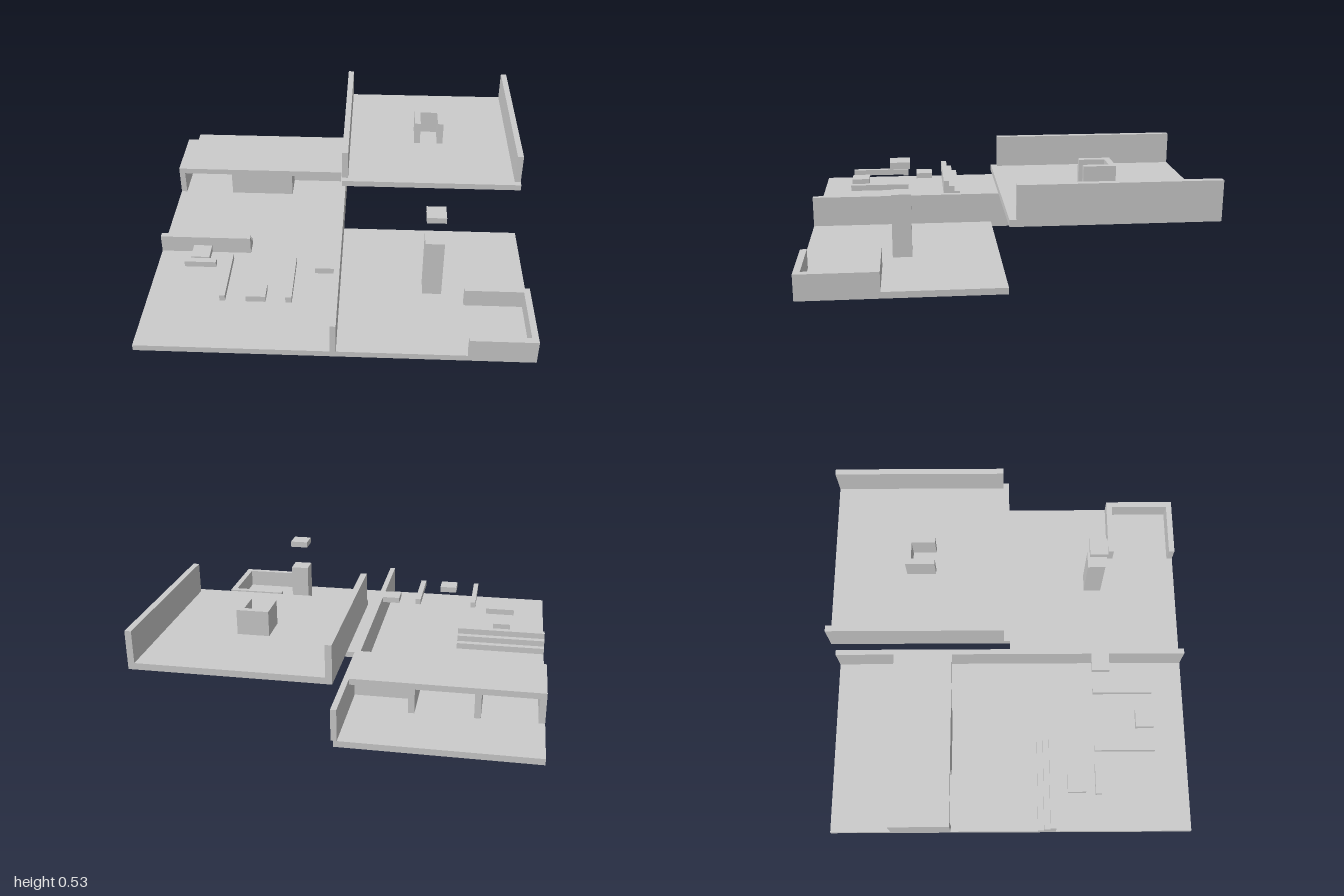
import * as THREE from 'three';

export function createModel() {
  const model = new THREE.Group();
  const material = new THREE.MeshStandardMaterial({ color: 0xcccccc, flatShading: true });
  const T = 0.033; // common slab and wall thickness

  // Box given by its minimum and maximum along each axis
  const block = (name, [x0, x1], [y0, y1], [z0, z1], parent = model) => {
    const geometry = new THREE.BoxGeometry(x1 - x0, y1 - y0, z1 - z0);
    geometry.translate((x0 + x1) / 2, (y0 + y1) / 2, (z0 + z1) / 2);
    const mesh = new THREE.Mesh(geometry, material);
    mesh.name = name;
    parent.add(mesh);
  };
  const group = (name) => {
    const g = new THREE.Group();
    g.name = name;
    model.add(g);
    return g;
  };

  // L-shaped ground floor and the wall dividing it
  block('longFloor', [-1, 0], [0, T], [-1, 1]);
  block('squareFloor', [0, 1], [0, T], [0, 1]);
  block('dividingWall', [-0.017, 0.013], [T, 0.2], [-1, 1]);

  // Raised platform with two side walls
  const platform = group('upperPlatform');
  block('platformFloor', [0, 1], [0.333, 0.367], [-1, 0], platform);
  for (const x of [0, 1 - T]) {
    block('platformSideWall', [x, x + T], [0.367, 0.533], [-1, -T], platform);
  }

  // U-shaped shelter on the platform, open to the front
  const shelter = group('shelter');
  for (const x of [0.413, 0.547]) {
    block('shelterSide', [x, x + T], [0.367, 0.5], [-0.585, -0.42], shelter);
  }
  block('shelterBack', [0.446, 0.547], [0.367, 0.5], [-0.585, -0.552], shelter);

  // Pillar with a tile floating above it
  block('pillar', [0.45, 0.55], [T, 0.367], [0.45, 0.55]);
  block('floatingTile', [0.45, 0.55], [0.5, 0.533], [0.45, 0.55]);

  // Corner enclosure, open to the inside
  const corner = group('cornerEnclosure');
  for (const z of [0.6, 1 - T]) {
    block('enclosureArm', [0.663, 1 - T], [T, 0.133], [z, z + T], corner);
  }
  block('enclosureEnd', [1 - T, 1], [T, 0.133], [0.6, 1], corner);

  // Covered passage: roof, end wall, partitions and closing panels
  const passage = group('coveredPassage');
  const depth = [-0.667, -0.333];
  block('passageRoof', [-1, -0.017], [0.167, 0.2], depth, passage);
  block('passageEndWall', [-1, -1 + T], [T, 0.167], depth, passage);
  for (const x of [-0.683, -0.35]) {
    block('partition', [x, x + T], [T, 0.167], depth, passage);
  }
  block('frontPanel', [-0.65, -0.35], [T, 0.167], [-0.366, -0.333], passage);
  block('innerPanel', [-0.317, -0.017], [T, 0.167], [-0.517, -0.483], passage);

  // Three steps, rising towards the front
  const steps = group('steps');
  for (let i = 0; i < 3; i++) {
    block('step', [-1, -0.5], [T, 0.067 + i * T], [0.15 + i * T, 0.15 + (i + 1) * T], steps);
  }

  // Floating stepping slabs: x range, lower y, z range
  const slabs = group('steppingSlabs');
  [
    [[-0.8, -0.7], 0.1, [0.317, 0.417]],
    [[-0.817, -0.65], 0.133, [0.467, 0.5]],
    [[-0.583, -0.555], 0.167, [0.467, 0.8]],
    [[-0.45, -0.35], 0.167, [0.7, 0.8]],
    [[-0.25, -0.218], 0.167, [0.467, 0.8]],
    [[-0.117, -0.017], 0.167, [0.467, 0.567]],
  ].forEach(([x, y, z]) => block('steppingSlab', x, [y, y + T], z, slabs));

  return model;
}
